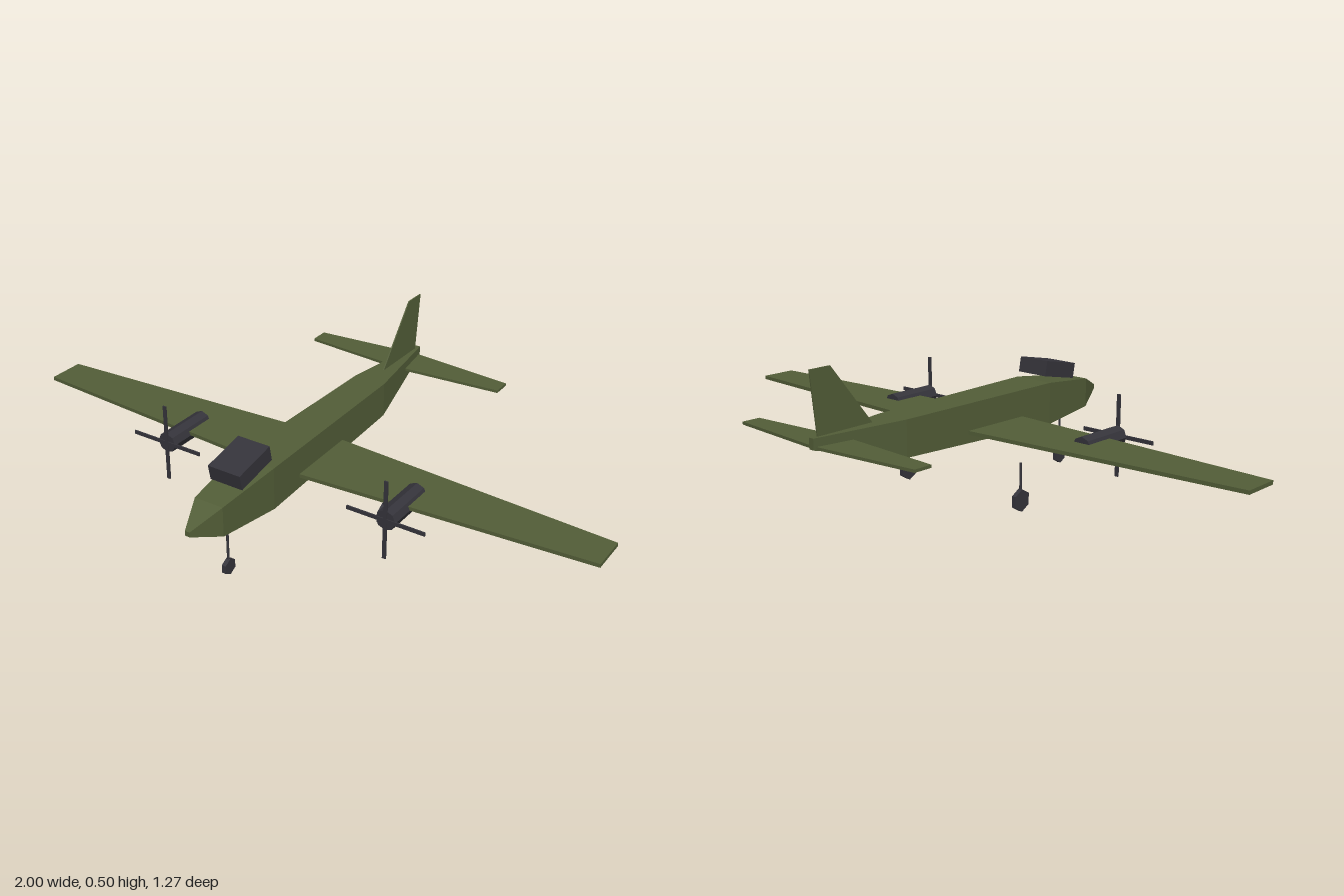
import * as THREE from 'three';

const olive = new THREE.MeshStandardMaterial({ color: 0x535e38, flatShading: true });
olive.name = 'olive green';
const charcoal = new THREE.MeshStandardMaterial({ color: 0x35343b, flatShading: true });
charcoal.name = 'charcoal';

function add(parent, name, geometry, material, x = 0, y = 0, z = 0) {
  const mesh = new THREE.Mesh(geometry, material);
  mesh.name = name;
  mesh.position.set(x, y, z);
  parent.add(mesh);
  return mesh;
}

// Rectangular cross-sections [z, half width, bottom, top], nose to tail
function hullGeometry(sections) {
  const rings = sections.map(([z, w, b, t]) => [[-w, b, z], [w, b, z], [w, t, z], [-w, t, z]]);
  const pos = [];
  const quad = (a, b, c, d) => pos.push(...a, ...b, ...c, ...a, ...c, ...d);
  quad(...rings[0]);
  for (let i = 0; i < rings.length - 1; i++) {
    for (let j = 0; j < 4; j++) {
      const k = (j + 1) % 4;
      quad(rings[i][j], rings[i + 1][j], rings[i + 1][k], rings[i][k]);
    }
  }
  quad(...rings[rings.length - 1].slice().reverse());
  const geo = new THREE.BufferGeometry();
  geo.setAttribute('position', new THREE.Float32BufferAttribute(pos, 3));
  geo.computeVertexNormals();
  return geo;
}

function plate(points, thickness) {
  const shape = new THREE.Shape(points.map(([x, y]) => new THREE.Vector2(x, y)));
  const geo = new THREE.ExtrudeGeometry(shape, { depth: thickness, bevelEnabled: false });
  return geo.translate(0, 0, -thickness / 2);
}

// Full-span tapered surface, centred on its own mid height
function wingGeometry(span, rootFront, tipFront, tipBack, rootBack, thickness) {
  return plate([
    [0, -rootFront], [span, -tipFront], [span, -tipBack],
    [0, -rootBack], [-span, -tipBack], [-span, -tipFront],
  ], thickness).rotateX(-Math.PI / 2);
}

function landingGear(name, x, z, radius) {
  const gear = new THREE.Group();
  gear.name = name;
  gear.position.set(x, 0, z);
  // Six-sided wheel with a corner pointing down
  const wheel = new THREE.CylinderGeometry(radius, radius, 0.014, 6).rotateZ(Math.PI / 2).rotateX(Math.PI / 2);
  add(gear, 'wheel', wheel, charcoal, 0, radius, 0);
  const bottom = radius, top = 0.153;
  add(gear, 'strut', new THREE.CylinderGeometry(0.004, 0.004, top - bottom, 6), charcoal, 0, (top + bottom) / 2, 0);
  return gear;
}

function engine(name, x) {
  const group = new THREE.Group();
  group.name = name;
  group.position.set(x, 0.213, 0);
  add(group, 'nacelle', new THREE.CylinderGeometry(0.033, 0.033, 0.18, 8).rotateX(Math.PI / 2), charcoal, 0, 0, 0.152);
  // Two crossed bars make the four-bladed propeller
  add(group, 'verticalBlades', new THREE.BoxGeometry(0.012, 0.26, 0.005), charcoal, 0, 0, 0.2425);
  add(group, 'horizontalBlades', new THREE.BoxGeometry(0.26, 0.012, 0.005), charcoal, 0, 0, 0.2425);
  return group;
}

export function createModel() {
  const model = new THREE.Group();
  model.name = 'transportPlane';

  add(model, 'fuselage', hullGeometry([
    [0.637, 0.008, 0.229, 0.245],
    [0.538, 0.049, 0.192, 0.288],
    [0.32, 0.069, 0.175, 0.313],
    [-0.32, 0.055, 0.195, 0.311],
    [-0.635, 0.009, 0.275, 0.309],
  ]), olive);

  // Flying surfaces
  add(model, 'wing', wingGeometry(1, 0.19, 0.122, 0, -0.065, 0.012), olive, 0, 0.22, 0);
  add(model, 'tailplane', wingGeometry(0.36, -0.502, -0.531, -0.593, -0.626, 0.009), olive, 0, 0.279, 0);
  const fin = plate([[-0.405, 0.309], [-0.56, 0.502], [-0.636, 0.502], [-0.613, 0.309]], 0.004);
  add(model, 'tailFin', fin.rotateY(-Math.PI / 2), olive);

  // Tilted cockpit block
  const canopy = add(model, 'canopy', new THREE.BoxGeometry(0.112, 0.05, 0.148), charcoal, 0, 0.344, 0.388);
  canopy.rotation.x = 0.2;

  model.add(landingGear('noseGear', 0, 0.46, 0.0265));
  for (const [side, s] of [['left', 1], ['right', -1]]) {
    model.add(engine(side + 'Engine', 0.4 * s));
    model.add(landingGear(side + 'MainGear', 0.24 * s, -0.025, 0.0355));
  }
  return model;
}
